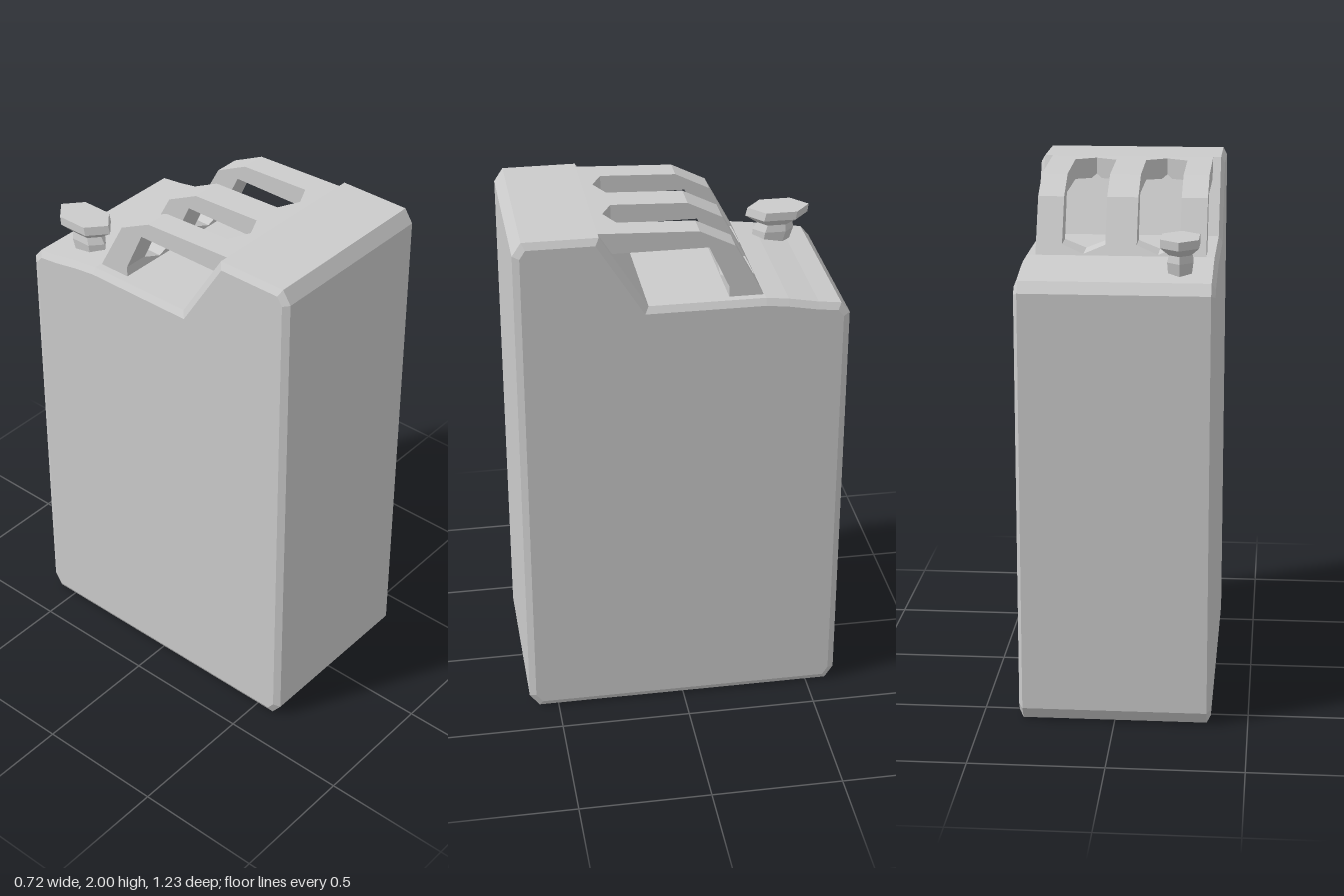
import * as THREE from 'three';

const material = new THREE.MeshStandardMaterial({ color: 0xcccccc, flatShading: true });
const toShape = (pts) => new THREE.Shape(pts.map(([a, b]) => new THREE.Vector2(a, b)));

function addMesh(group, name, geometry) {
  const mesh = new THREE.Mesh(geometry, material);
  mesh.name = name;
  group.add(mesh);
  return mesh;
}

// Extrude a (z, y) side profile across x0..x1, with an optional inward chamfer
function sideExtrude(pts, x0, x1, chamfer = 0, thickness = 0) {
  const geo = new THREE.ExtrudeGeometry(toShape(pts), {
    depth: x1 - x0 - 2 * thickness,
    bevelEnabled: chamfer > 0,
    bevelSegments: 1,
    bevelSize: chamfer,
    bevelOffset: -chamfer,
    bevelThickness: thickness,
  });
  return geo.rotateY(-Math.PI / 2).translate(x1 - thickness, 0, 0);
}

// Move every vertex by a rule
function warp(geo, rule) {
  const p = geo.attributes.position;
  const v = new THREE.Vector3();
  for (let i = 0; i < p.count; i++) {
    rule(v.fromBufferAttribute(p, i));
    p.setXYZ(i, v.x, v.y, v.z);
  }
  geo.computeVertexNormals();
  return geo;
}

export function createModel() {
  const can = new THREE.Group();
  can.name = 'fuelCan';

  // Tall chamfered body with a stepped, sloping top
  const body = [
    [0.575, 0], [0.613, 0.05], [0.613, 1.95], [0.58, 2], [0.305, 2], [0.13, 1.72],
    [-0.3, 1.72], [-0.385, 1.71], [-0.495, 1.69], [-0.58, 1.68], [-0.613, 1.64],
    [-0.613, 0.05], [-0.58, 0],
  ].reverse();
  addMesh(can, 'body', sideExtrude(body, -0.361, 0.361, 0.025, 0.015));

  const handle = new THREE.Group();
  handle.name = 'handle';
  can.add(handle);

  // Three carrying bars, bent down to the rear shoulder
  const bar = [
    [0.305, 2], [-0.06, 1.985], [-0.19, 1.92], [-0.3, 1.715], [-0.17, 1.715],
    [-0.17, 1.76], [-0.095, 1.92], [0.255, 1.92],
  ];
  const barSpans = [[-0.315, -0.218], [-0.058, 0.058], [0.218, 0.315]];
  for (const [x0, x1] of barSpans) addMesh(handle, 'handleBar', sideExtrude(bar, x0, x1));

  // Webs closing both ends of the two slots with V-shaped edges
  for (const side of [-1, 1]) {
    const mid = 0.138 * side;
    const left = mid - 0.08;
    const right = mid + 0.08;

    const front = toShape([[left, 0.225], [mid, 0.265], [right, 0.225], [right, 0.305], [left, 0.305]]);
    const frontWeb = new THREE.ExtrudeGeometry(front, { depth: 0.08, bevelEnabled: false });
    frontWeb.rotateX(Math.PI / 2).translate(0, 2, 0);
    // keep the top flush with the slight fall of the bars
    warp(frontWeb, (v) => { if (v.y > 1.99) v.y -= (0.305 - v.z) * 0.041; });
    addMesh(handle, 'frontSlotWeb', frontWeb);

    const rear = toShape([[left, 1.715], [right, 1.715], [right, 1.757], [mid, 1.725], [left, 1.757]]);
    const rearWeb = new THREE.ExtrudeGeometry(rear, { depth: 0.13, bevelEnabled: false });
    rearWeb.translate(0, 0, -0.3);
    // lean the back face along the bars' slope
    warp(rearWeb, (v) => { if (v.z < -0.2) v.z += (v.y - 1.715) * 0.537; });
    addMesh(handle, 'rearSlotWeb', rearWeb);
  }

  // Six-sided filler neck and cap, squashed sideways and leaning back
  const hexLathe = (pts) => {
    const geo = new THREE.LatheGeometry(pts.map(([r, y]) => new THREE.Vector2(r, y)), 6);
    return warp(geo, (v) => {
      v.x = v.x * 0.66 - 0.228;
      v.z += -0.457 - (v.y - 1.8) * 0.2;
    });
  };
  const filler = new THREE.Group();
  filler.name = 'filler';
  can.add(filler);
  addMesh(filler, 'neck', hexLathe([[0, 1.67], [0.072, 1.67], [0.08, 1.735], [0.066, 1.77], [0, 1.77]]));
  addMesh(filler, 'cap', hexLathe([[0, 1.762], [0.07, 1.762], [0.122, 1.793], [0.12, 1.825], [0, 1.825]]));

  return can;
}
